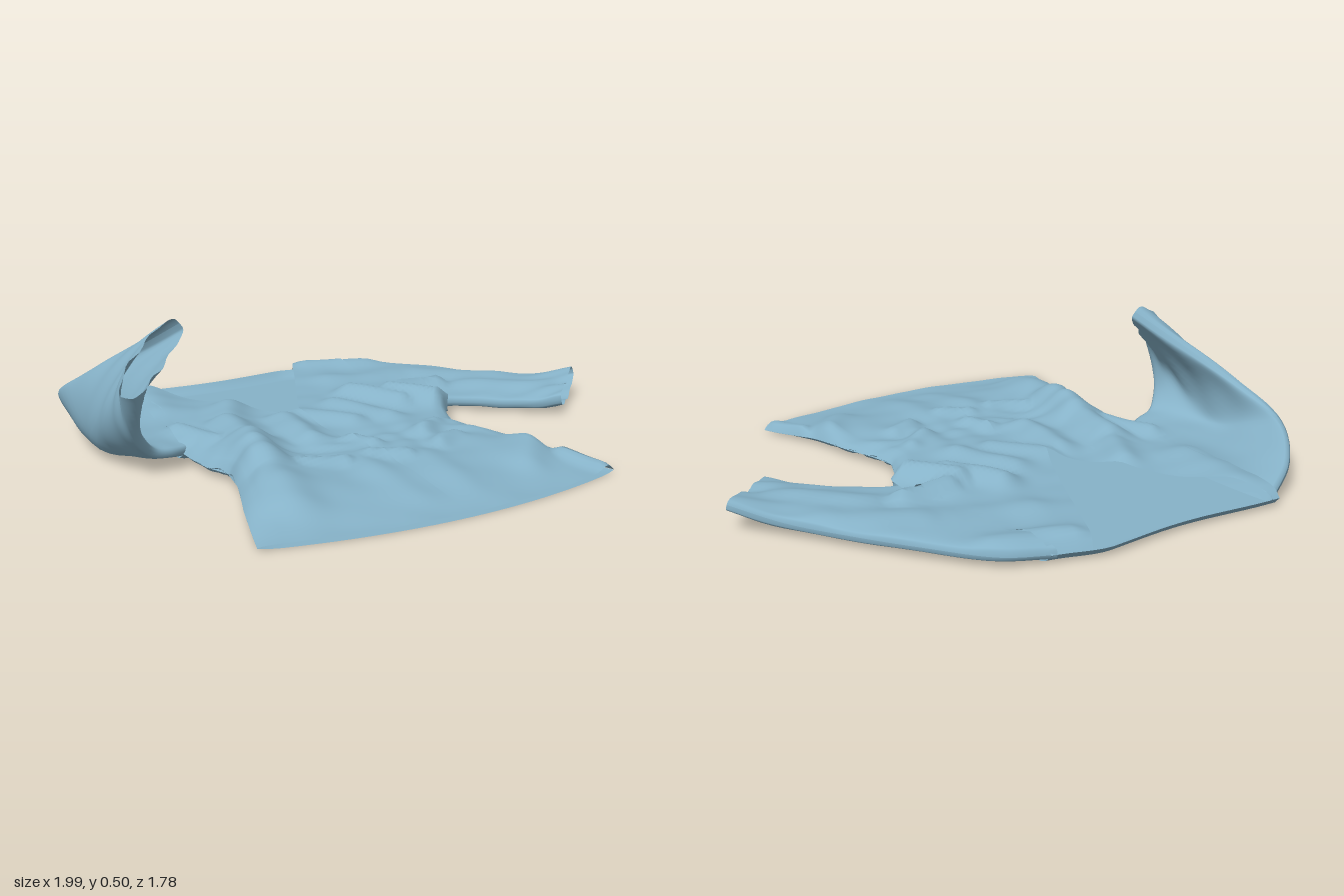
import * as THREE from 'three';

const cloth = new THREE.MeshStandardMaterial({ color: 0x86b2c8, side: THREE.DoubleSide });
const { clamp, smoothstep, lerp } = THREE.MathUtils;

// Body outline: z, right edge x, left edge x
const OUTLINE = [
  [-0.88, -0.63, 0.29], [-0.5, -0.66, 0.36], [-0.1, -0.71, 0.41], [0, -0.715, 0.33], [0.12, -0.71, 0.275],
  [0.22, -0.68, 0.29], [0.35, -0.71, 0.33], [0.55, -0.79, 0.37], [0.79, -0.87, 0.45],
];

// Cloth ridges: start x, z, end x, z, width, height
const FOLDS = [
  [-0.38, -0.38, -0.5, -0.15, 0.06, 0.035], [-0.5, -0.15, -0.54, 0.1, 0.075, 0.06], [-0.54, 0.1, -0.6, 0.3, 0.09, 0.078],
  [-0.6, 0.3, -0.66, 0.6, 0.09, 0.045], [-0.28, -0.15, -0.32, 0.12, 0.055, 0.03], [-0.2, -0.17, -0.08, 0, 0.055, 0.025],
  [-0.02, -0.22, 0.06, 0.02, 0.055, 0.025], [0.1, -0.32, 0.2, -0.12, 0.06, 0.045], [0.22, -0.22, 0.34, -0.05, 0.06, 0.055],
  [0.28, -0.26, 0.46, -0.26, 0.045, 0.045], [-0.66, -0.2, -0.6, 0, 0.05, 0.035], [-0.55, -0.75, -0.62, -0.45, 0.08, 0.025],
  [0.18, -0.8, 0.42, -0.72, 0.06, 0.025], [0.15, -0.55, 0.4, -0.5, 0.08, 0.015], [0.15, 0.18, 0.04, 0.26, 0.035, 0.025],
  [0.13, 0.33, 0.03, 0.37, 0.035, 0.025], [-0.2, 0.2, -0.16, 0.27, 0.035, 0.025], [-0.23, 0.36, -0.13, 0.41, 0.035, 0.025],
  [-0.48, 0.32, -0.35, 0.38, 0.035, 0.03], [0.2, 0.62, 0.33, 0.5, 0.06, 0.03], [-0.08, 0.42, -0.1, 0.65, 0.06, 0.015],
  [-0.3, 0.42, -0.28, 0.65, 0.06, 0.015], [0.5, -0.45, 0.72, -0.25, 0.07, 0.015], [0.55, -0.2, 0.8, -0.02, 0.06, 0.015],
  [0.39, 0.62, 0.42, 0.76, 0.04, 0.08],
];

function edges(z) {
  let i = 0;
  while (i < OUTLINE.length - 2 && z > OUTLINE[i + 1][0]) i++;
  const a = OUTLINE[i], b = OUTLINE[i + 1];
  const t = clamp((z - a[0]) / (b[0] - a[0]), 0, 1);
  return [lerp(a[1], b[1], t), lerp(a[2], b[2], t)];
}

function foldHeight(x, z) {
  let h = 0;
  for (const [x1, z1, x2, z2, w, k] of FOLDS) {
    const dx = x2 - x1, dz = z2 - z1;
    const t = clamp(((x - x1) * dx + (z - z1) * dz) / (dx * dx + dz * dz), 0, 1);
    const d = Math.hypot(x - x1 - dx * t, z - z1 - dz * t) / w;
    h = Math.max(h, k * Math.exp(-d * d));
  }
  return h + 0.005 * Math.sin(13 * x + 4 * z) * Math.sin(11 * z - 5 * x)
    + 0.002 * Math.sin(29 * x - 17 * z) * Math.sin(23 * z + 9 * x);
}

// Gathers around the waist
const pucker = (x, z) => Math.exp(-(((z - 0.25) / 0.14) ** 2)) * 0.008 *
  Math.sin(27 * x + 3 * Math.sin(14 * z)) * Math.sin(29 * z + 5 * x + 2 * Math.sin(9 * x));

// Grid surface from a rule (u, v) -> [x, y, z]
function patch(name, nu, nv, rule) {
  const g = new THREE.PlaneGeometry(1, 1, nu, nv);
  const p = g.attributes.position, uv = g.attributes.uv;
  for (let i = 0; i < p.count; i++) p.setXYZ(i, ...rule(uv.getX(i), 1 - uv.getY(i)));
  g.computeVertexNormals();
  const m = new THREE.Mesh(g, cloth);
  m.name = name;
  return m;
}

// Body point: row z, position x, front or back layer
function bodyPoint(x, row, isFront) {
  const [l, r] = edges(row);
  const side = Math.min(x - l, r - x) + Math.max(0, -0.06 - row) * 1.5;
  const taper = Math.sqrt(clamp(Math.min(side / 0.06, (row + 0.88) / 0.035), 0, 1));
  const hem = smoothstep(row, 0.45, 0.79);
  const mid = 1 - ((x - (l + r) / 2) / ((r - l) / 2)) ** 2;
  const shoulder = 1 - smoothstep(row, -0.88, -0.65);
  const z = row + 0.1 * mid * smoothstep(row, 0.2, 0.79)
    + shoulder * (0.014 * Math.cos((x + 0.22) * 7.5) + 0.05 * smoothstep(x, 0.08, 0.3));
  const y = isFront
    ? 0.035 - 0.022 * hem + taper * (0.03 * (1 - 0.75 * hem) + foldHeight(x, row) * (1 - 0.5 * hem) + pucker(x, row))
    : 0.006 + 0.029 * (1 - taper) * (1 - hem * 0.8) + 2 * Math.abs(pucker(x, row));
  return [x, y, z];
}

// Front half: outer edge to the V neckline, then to the centre line
function frontHalf(name, side) {
  const rows = 80, tip = 31 / rows;
  return patch(name, 36, rows, (u, v) => {
    const row = v < tip ? -0.88 + 0.71 * v / tip : -0.17 + 0.96 * (v - tip) / (1 - tip);
    const open = Math.max(0, (-0.17 - row) / 0.71);
    const [l, r] = edges(row);
    const inner = -0.2 + open * (side < 0 ? -0.4 : 0.36);
    const x = side < 0 ? lerp(l, inner, u) : lerp(inner, r, u);
    return bodyPoint(x, row, true);
  });
}

// Flattened tube through sections of [shoulder edge, middle, underarm edge]
function sleeve(name, sections, cuffThick, cuffDrape) {
  const rail = k => new THREE.CatmullRomCurve3(sections.map(s => new THREE.Vector3(...s[k])));
  const rails = [rail(0), rail(1), rail(2)];
  const mid = (s, t) => new THREE.CatmullRomCurve3(rails.map(c => c.getPoint(t))).getPoint(s);
  return patch(name, 48, 30, (u, v) => {
    const a = u * Math.PI * 2, s = (1 - Math.cos(a)) / 2;
    const c = mid(s, v);
    const across = mid(Math.min(1, s + 0.02), v).sub(mid(Math.max(0, s - 0.02), v));
    const along = mid(s, Math.min(1, v + 0.02)).sub(mid(s, Math.max(0, v - 0.02)));
    const n = across.cross(along).normalize();
    const w = Math.sign(Math.sin(a)) * Math.abs(Math.sin(a)) ** 0.45;
    const ripple = 0.008 * Math.sin(17 * s + 9 * v) * Math.sin(12 * v + 4 * s) * Math.abs(w) * v;
    c.addScaledVector(n, w * lerp(0.03, cuffThick, v * v) + ripple);
    if (n.y * w > 0) c.y += foldHeight(c.x, c.z) * Math.abs(w) * lerp(1, cuffDrape, Math.sqrt(v));
    c.y = Math.max(c.y, 0.006);
    return c.toArray();
  });
}

export function createModel() {
  const shirt = new THREE.Group();
  shirt.name = 'shirt';

  shirt.add(patch('backPanel', 70, 80, (u, v) => {
    const row = -0.88 + 1.67 * v, [l, r] = edges(row);
    return bodyPoint(lerp(l, r, u), row, false);
  }));
  shirt.add(frontHalf('frontPanelRight', -1), frontHalf('frontPanelLeft', 1));

  // Sleeve lying flat
  shirt.add(sleeve('leftSleeve', [
    [[0.27, 0.035, -0.845], [0.33, 0.035, -0.48], [0.37, 0.035, -0.12]],
    [[0.43, 0.04, -0.775], [0.45, 0.037, -0.4], [0.44, 0.037, -0.09]],
    [[0.59, 0.045, -0.59], [0.57, 0.037, -0.3], [0.52, 0.037, -0.03]],
    [[0.72, 0.045, -0.4], [0.67, 0.037, -0.17], [0.6, 0.037, 0.04]],
    [[0.86, 0.055, -0.2], [0.77, 0.045, -0.04], [0.68, 0.045, 0.11]],
    [[0.99, 0.1, -0.06], [0.87, 0.06, 0.05], [0.75, 0.06, 0.16]],
  ], 0.032, 1));

  // Sleeve folded up and over
  shirt.add(sleeve('rightSleeve', [
    [[-0.6, 0.035, -0.89], [-0.62, 0.036, -0.45], [-0.66, 0.036, -0.08]],
    [[-0.79, 0.1, -0.78], [-0.78, 0.04, -0.42], [-0.75, 0.05, -0.03]],
    [[-0.94, 0.17, -0.59], [-0.91, 0.06, -0.3], [-0.83, 0.07, -0.01]],
    [[-0.92, 0.26, -0.4], [-0.94, 0.13, -0.2], [-0.89, 0.12, 0.03]],
    [[-0.83, 0.37, -0.21], [-0.93, 0.25, -0.07], [-0.94, 0.2, 0.08]],
    [[-0.72, 0.49, -0.03], [-0.86, 0.4, 0.04], [-0.98, 0.31, 0.13]],
  ], 0.045, 0));

  return shirt;
}
